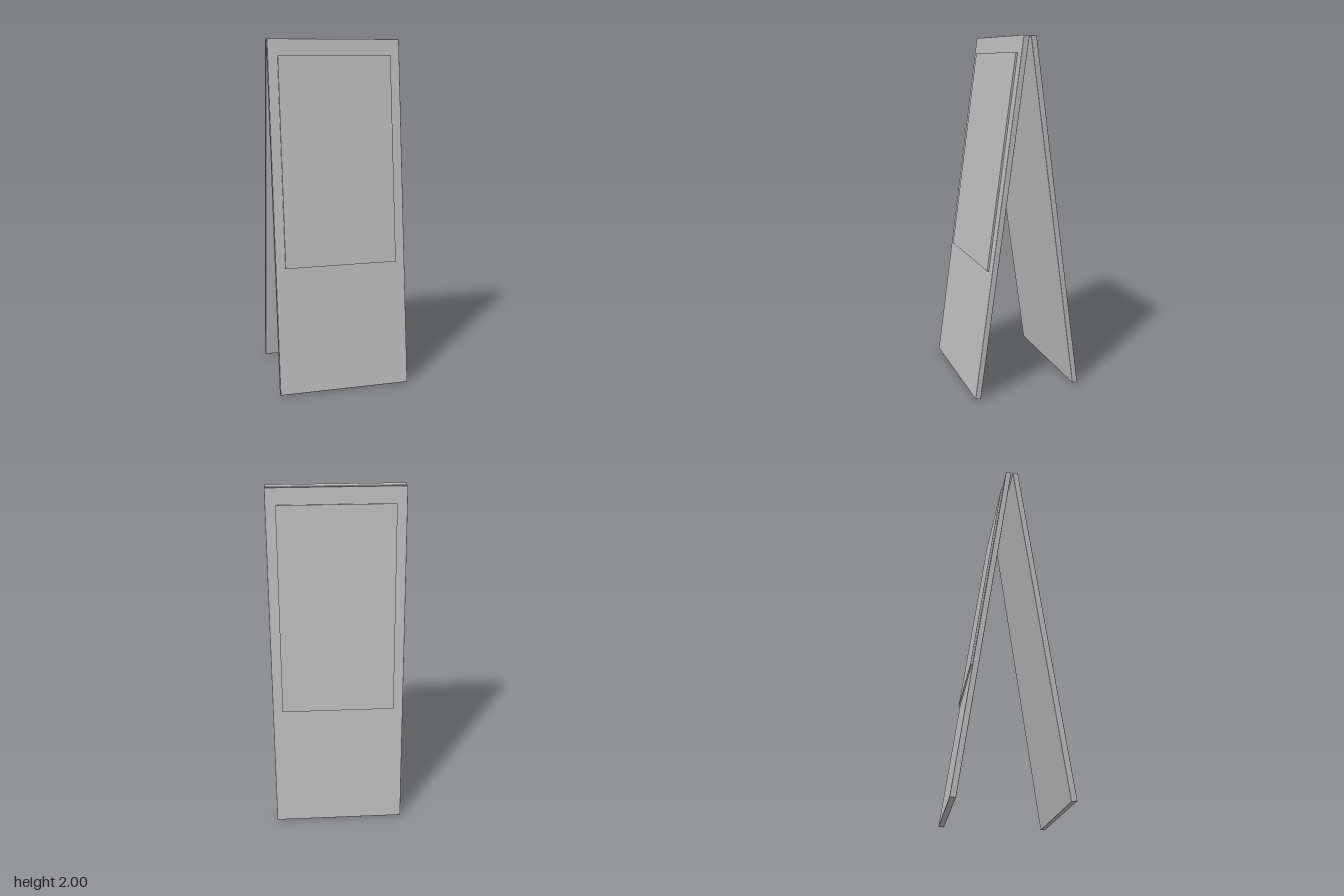
import * as THREE from 'three';
import { RoundedBoxGeometry } from 'three/addons/geometries/RoundedBoxGeometry.js';

const TILT = 0.1403; // lean of each board, radians
const BOARD = { width: 0.764, height: 2.015, depth: 0.032 };
const POSTER = { width: 0.652, height: 1.192, depth: 0.01, y: 1.327 };

export function createModel() {
  const model = new THREE.Group();
  model.name = 'sandwichBoard';
  const grey = new THREE.MeshStandardMaterial({ color: 0xbababa });
  grey.name = 'light grey';

  // One leaning board with its raised poster panel, pivoting on its inner bottom edge
  function leaf(side) {
    const group = new THREE.Group();
    group.name = side + 'Leaf';

    const board = new THREE.Mesh(
      new RoundedBoxGeometry(BOARD.width, BOARD.height, BOARD.depth, 2, 0.003), grey);
    board.name = side + 'Board';
    board.position.set(0, BOARD.height / 2, BOARD.depth / 2);

    const poster = new THREE.Mesh(
      new THREE.BoxGeometry(POSTER.width, POSTER.height, POSTER.depth), grey);
    poster.name = side + 'PosterPanel';
    poster.position.set(0, POSTER.y, BOARD.depth + POSTER.depth / 2);

    group.add(board, poster);
    group.position.z = 0.286;
    group.rotation.x = -TILT;
    return group;
  }

  // The back leaf is the front one turned half way round
  ['front', 'back'].forEach((side, i) => {
    const half = new THREE.Group();
    half.name = side + 'Half';
    half.add(leaf(side));
    half.rotation.y = i * Math.PI;
    model.add(half);
  });
  return model;
}
